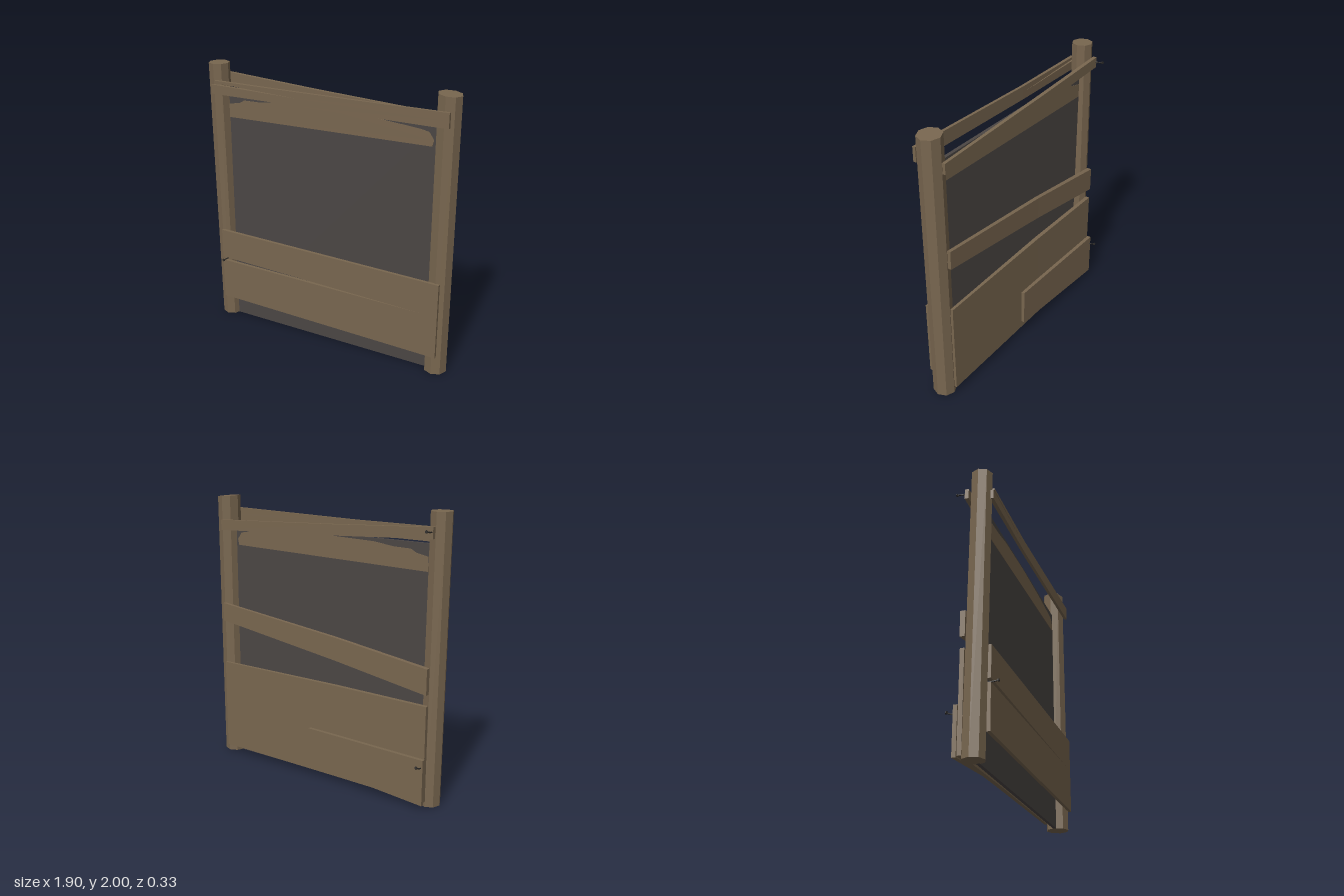
import * as THREE from 'three';

const mat = (name, color, extra) => {
  const m = new THREE.MeshStandardMaterial({ color, flatShading: true });
  m.name = name;
  return m;
};

export function createModel() {
  const wood = mat('weathered wood', 0x78664f);
  const sheet = mat('dark sheet', 0x4b4644);
  const iron = mat('dark iron', 0x2b2927);
  const root = new THREE.Group();
  root.name = 'boardedFrame';

  const add = (parent, name, geometry, material) => {
    const mesh = new THREE.Mesh(geometry, material);
    mesh.name = name;
    parent.add(mesh);
    return mesh;
  };

  // Warped board through sections [x, yBottom, yTop, zBack, zFront], in order of x
  const board = (name, sections) => {
    const n = sections.length - 1;
    const g = new THREE.BoxGeometry(1, 1, 1, n, 1, 1);
    const p = g.attributes.position;
    for (let i = 0; i < p.count; i++) {
      const [x, y0, y1, z0, z1] = sections[Math.round((p.getX(i) + 0.5) * n)];
      p.setXYZ(i, x, p.getY(i) < 0 ? y0 : y1, p.getZ(i) < 0 ? z0 : z1);
    }
    g.computeVertexNormals();
    return add(root, name, g, wood);
  };

  // Octagonal posts, slightly leaning, with a sloping top
  const post = (name, x, z, radius, leanX, leanZ, slope) => {
    const g = new THREE.CylinderGeometry(radius, radius, 2, 8);
    const p = g.attributes.position;
    for (let i = 0; i < p.count; i++) {
      if (p.getY(i) < 0) continue;
      p.setXYZ(i, p.getX(i) + leanX, 1 - slope * (p.getX(i) + radius), p.getZ(i) + leanZ);
    }
    g.computeVertexNormals();
    add(root, name, g, wood).position.set(x, 1, z);
  };
  post('rightPost', -0.878, 0.025, 0.075, -0.003, 0.018, 0);
  post('leftPost', 0.864, 0.022, 0.082, 0, 0, 0.08);

  // Thin centre panel with a lighter band near its top
  const panel = new THREE.Group();
  panel.name = 'centrePanel';
  panel.position.z = 0.025;
  panel.rotation.y = 0.006;
  root.add(panel);
  add(panel, 'panelSheet', new THREE.BoxGeometry(1.62, 1.79, 0.024), sheet).position.set(-0.01, 0.895, 0);
  const band = new THREE.Shape([
    [-0.81, 1.607], [0.765, 1.637], [0.775, 1.68], [0.74, 1.73], [0.68, 1.742], [0.4, 1.765],
    [0, 1.778], [-0.4, 1.768], [-0.55, 1.748], [-0.68, 1.745], [-0.72, 1.722], [-0.81, 1.705],
  ].map(([x, y]) => new THREE.Vector2(x, y)));
  const bandDepth = 0.03;
  add(panel, 'panelTopBand', new THREE.ExtrudeGeometry(band, { depth: bandDepth, bevelEnabled: false }), wood)
    .position.z = -bandDepth / 2;

  // Front boards, each split by a crack that closes towards +x
  board('frontTopBoardLower', [
    [-0.895, 1.788, 1.855, 0.103, 0.13], [-0.2, 1.79, 1.841, 0.097, 0.118], [0.905, 1.797, 1.85, 0.103, 0.125]]);
  board('frontTopBoardUpper', [
    [-0.87, 1.867, 1.884, 0.103, 0.128], [-0.2, 1.841, 1.885, 0.097, 0.118], [0.905, 1.85, 1.9, 0.103, 0.125]]);
  board('frontLowBoardLower', [
    [-0.875, 0.17, 0.48, 0.1, 0.125], [0.79, 0.148, 0.469, 0.1, 0.122], [0.895, 0.145, 0.467, 0.1, 0.122]]);
  board('frontLowBoardUpper', [
    [-0.875, 0.507, 0.73, 0.1, 0.125], [0.79, 0.469, 0.712, 0.1, 0.122], [0.895, 0.467, 0.71, 0.1, 0.122]]);

  // Back boards
  board('backTopBoard', [
    [-0.885, 1.835, 1.91, -0.078, -0.05], [-0.15, 1.795, 1.87, -0.078, -0.05], [0.86, 1.75, 1.825, -0.08, -0.058]]);
  board('backMiddleBoard', [
    [-0.88, 0.81, 0.99, -0.085, -0.05], [-0.15, 0.92, 1.085, -0.075, -0.045], [0.86, 1.065, 1.2, -0.085, -0.06]]);
  board('backLowBoard', [
    [-0.88, 0.04, 0.73, -0.08, -0.05], [-0.15, 0.045, 0.735, -0.075, -0.045], [0.86, 0.055, 0.735, -0.08, -0.06]]);
  board('backPatchBoard', [
    [-0.885, 0.03, 0.36, -0.11, -0.082], [0.06, 0.1, 0.375, -0.1, -0.074]]);

  // Bent nails with flat heads
  const nail = (name, ...points) => {
    const g = new THREE.Group();
    g.name = name;
    const pts = points.map((q) => new THREE.Vector3(...q));
    add(g, 'shank', new THREE.TubeGeometry(new THREE.CatmullRomCurve3(pts), 4, 0.005, 5), iron);
    const tip = pts[pts.length - 1];
    const dir = tip.clone().sub(pts[pts.length - 2]).normalize();
    const head = add(g, 'head', new THREE.CylinderGeometry(0.011, 0.011, 0.006, 6), iron);
    head.position.copy(tip);
    head.quaternion.setFromUnitVectors(new THREE.Vector3(0, 1, 0), dir);
    root.add(g);
  };
  nail('backTopNail', [-0.875, 1.877, -0.05], [-0.875, 1.879, -0.1], [-0.87, 1.887, -0.138]);
  nail('backPatchNail', [-0.87, 0.305, -0.09], [-0.87, 0.307, -0.125], [-0.862, 0.323, -0.16]);
  nail('frontNail', [-0.845, 0.492, 0.08], [-0.845, 0.495, 0.125], [-0.845, 0.498, 0.163]);

  return root;
}
